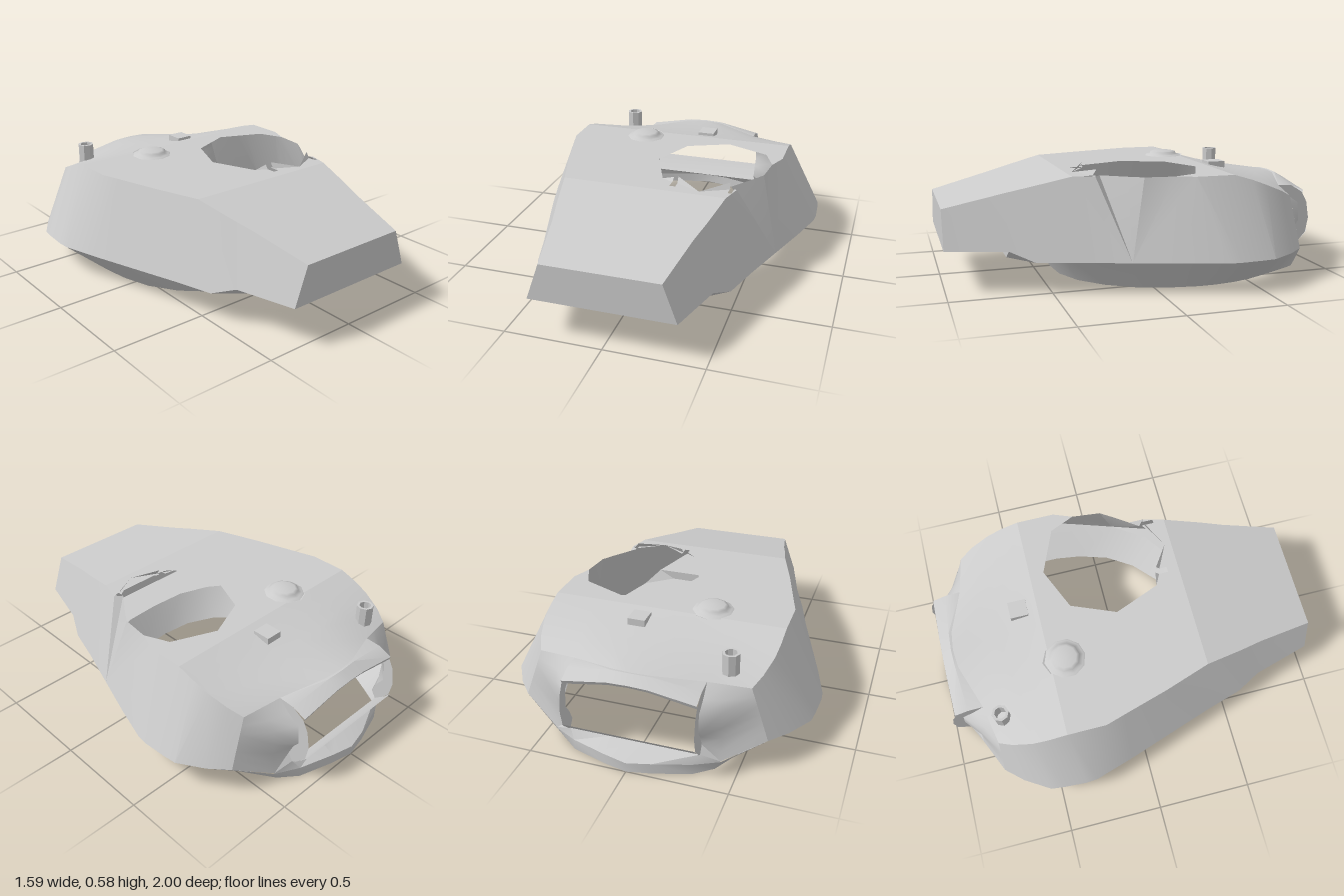
import * as THREE from 'three';
import { toCreasedNormals } from 'three/addons/utils/BufferGeometryUtils.js';

const material = new THREE.MeshStandardMaterial({ color: 0xcccccc, side: THREE.DoubleSide });
const ROOF = 0.555;
const mirror = (pts) => pts.map(([x, y, z]) => [-x, y, z]);
// Complete a half outline that ends on the centre line
const across = (half) => [...half, ...mirror(half).reverse().slice(1)];

// Skin joining successive rows of [x, y, z] points
function loft(rows, crease = 0.5) {
  const pos = [];
  const tri = (a, b, c) => {
    const [A, B, C] = [a, b, c].map((p) => new THREE.Vector3(...p));
    if (B.sub(A).cross(C.sub(A)).length() > 1e-7) pos.push(...a, ...b, ...c);
  };
  for (let r = 0; r < rows.length - 1; r++) {
    for (let i = 0; i < rows[r].length - 1; i++) {
      const a = rows[r][i], b = rows[r][i + 1], c = rows[r + 1][i + 1], d = rows[r + 1][i];
      tri(a, b, c);
      tri(a, c, d);
    }
  }
  const g = new THREE.BufferGeometry();
  g.setAttribute('position', new THREE.Float32BufferAttribute(pos, 3));
  return toCreasedNormals(g, crease);
}

// Turned part from [radius, height] pairs
const turned = (pts, sides, crease) =>
  toCreasedNormals(new THREE.LatheGeometry(pts.map((p) => new THREE.Vector2(...p)), sides), crease);

export function createModel() {
  const group = new THREE.Group();
  const add = (name, geometry, x = 0, y = 0, z = 0) => {
    const m = new THREE.Mesh(geometry, material);
    m.name = name;
    m.position.set(x, y, z);
    group.add(m);
  };

  // Side plates: matching points on the lower and upper edges, bustle to cheek
  const bustleLow = [[0.365, 0.21, 1], [0.45, 0.21, 0.7], [0.51, 0.16, 0.58], [0.57, 0.16, 0.38]];
  const bustleTop = [[0.295, 0.405, 1], [0.352, 0.478, 0.7], [0.382, 0.507, 0.58], [0.425, ROOF, 0.38]];
  const cheekLow = [[0.73, 0.16, -0.1], [0.79, 0.16, -0.3], [0.795, 0.16, -0.36], [0.788, 0.16, -0.48],
    [0.78, 0.16, -0.55], [0.7, 0.16, -0.68], [0.62, 0.16, -0.77]];
  const frontTop = [[0.605, ROOF, -0.4], [0.602, 0.525, -0.5], [0.593, 0.495, -0.58], [0.565, 0.455, -0.68], [0.53, 0.42, -0.75]];
  const corner = [0.65, 0.16, 0.14];
  add('rightSide', loft([
    mirror([...bustleLow, corner, ...cheekLow]),
    mirror([...bustleTop, [0.505, ROOF, 0.14], [0.575, ROOF, -0.1], [0.605, ROOF, -0.2], ...frontTop]),
  ]));
  // The left plate is cut away by the hatch opening, fanning down to one corner
  const cut = [[0.455, ROOF, 0.27], [0.42, ROOF, 0.24], [0.505, ROOF, 0.12], [0.55, ROOF, 0.05],
    [0.566, ROOF, -0.1], [0.605, ROOF, -0.2]];
  add('leftSide', loft([
    [...bustleTop, ...cut, [0.605, ROOF, -0.2], [0.605, ROOF, -0.2], ...frontTop],
    [...bustleLow, ...cut.map(() => corner), ...cheekLow],
  ], 0.3));

  // Flat middle roof with the irregular hatch opening breaking its left edge
  const outline = [[0.425, 0.38], [0.455, 0.27], [0.44, 0.265], [0.44, 0.32], [0.42, 0.32], [0.42, 0.255],
    [0.28, 0.345], [0.15, 0.26], [0.15, 0.32], [0.12, 0.32], [0.12, 0.25], [0.06, 0.24], [-0.035, 0],
    [0.06, -0.23], [0.28, -0.325], [0.51, -0.23], [0.566, -0.1], [0.605, -0.2], [0.605, -0.4],
    [-0.605, -0.4], [-0.605, -0.2], [-0.575, -0.1], [-0.505, 0.14], [-0.425, 0.38]];
  const roof = new THREE.ShapeGeometry(new THREE.Shape(outline.map(([x, z]) => new THREE.Vector2(x, -z))));
  add('middleRoof', roof.rotateX(-Math.PI / 2), 0, ROOF, 0);

  // Bent slivers of plate behind the opening
  const slivers = [
    [[0.06, ROOF, 0.24], [0.125, 0.575, 0.25], [0.12, ROOF, 0.27]],
    [[0.15, 0.585, 0.26], [0.28, ROOF, 0.345], [0.15, ROOF, 0.28]],
    [[0.42, 0.585, 0.255], [0.28, ROOF, 0.345], [0.42, ROOF, 0.275]],
  ];
  slivers.forEach(([a, b, c]) => add('bentSliver', loft([[a, b], [a, c]])));

  // Sloping bustle roof, end plate and stepped underside
  add('bustleRoof', loft([bustleTop, mirror(bustleTop)]));
  add('bustleEnd', loft([[bustleTop[0], mirror(bustleTop)[0]], [bustleLow[0], mirror(bustleLow)[0]]]));
  add('bustleFloor', loft([bustleLow.slice(0, 2), mirror(bustleLow.slice(0, 2))]));
  add('bustleStep', loft([
    across([bustleLow[2], bustleLow[1], [0, 0.21, 0.7]]),
    across([bustleLow[2], [0.36, 0.16, 0.7], [0, 0.16, 0.7]]),
  ]));

  // Arched front roof running down to the gun opening
  const archY = [ROOF, 0.527, 0.51, 0.49];
  const rows = frontTop.slice(0, 4).map(([x, y, z], i) => across([
    [x, y, z], [x * 0.62, y + (archY[i] - y) * 0.65, z], [x * 0.25, archY[i], z - 0.02 * i], [0, archY[i], z - 0.02 * i],
  ]));
  const brow = [[0.33, 0.44, -0.79], [0.1, 0.473, -0.87], [0, 0.476, -0.88]];
  add('frontRoof', loft([...rows, across([frontTop[4], ...brow])], 0.9));

  // Thin lip over the opening, drooping towards its ends
  add('upperLip', loft([
    across(brow),
    across([[0.33, 0.435, -0.87], [0.1, 0.475, -0.885], [0, 0.478, -0.89]]),
    across([[0.33, 0.405, -0.943], [0.1, 0.442, -0.943], [0, 0.445, -0.943]]),
    across([[0.33, 0.385, -0.935], [0.1, 0.425, -0.935], [0, 0.43, -0.935]]),
  ], 0.6));

  // Cheeks either side of the opening, folding in to an upright C-shaped flange
  const arc = (x, pts) => pts.map(([y, z]) => [x, y, z]);
  const foot = [0.42, 0.06, -0.86];
  const flangeInner = arc(0.33, [[0.44, -0.79], [0.38, -0.85], [0.34, -0.91], [0.24, -0.92], [0.2, -0.89], [0.14, -0.865]]);
  const flangeOuter = arc(0.33, [[0.435, -0.87], [0.395, -0.935], [0.34, -0.965], [0.25, -0.98], [0.17, -0.965], [0.11, -0.91]]);
  const fold = arc(0.42, [[0.43, -0.77], [0.37, -0.81], [0.32, -0.84], [0.24, -0.845], [0.18, -0.845], [0.11, -0.85]]);
  const cheekEdge = fold.map((_, i) => [0.53 + 0.015 * i, 0.42 - 0.043 * i, -0.75 - 0.0033 * i]);
  const cheek = [[...cheekEdge, cheekLow[6]], [...fold, foot], [...flangeInner, foot]];
  const flange = [[...flangeInner, foot], [...flangeOuter, [0.33, 0.1, -0.89]]];
  add('leftCheek', loft(cheek, 0.9));
  add('rightCheek', loft(cheek.map(mirror), 0.9));
  add('leftFlange', loft(flange));
  add('rightFlange', loft(flange.map(mirror)));

  // Straight bar joining the feet of the flanges
  const bar = [[0.33, 0.18, -0.976], [0.33, 0.145, -0.945], [0.33, 0.1, -0.89]];
  add('lowerBar', loft([bar, mirror(bar)]));

  // Tapered skirt below the hull, open at the bottom
  const sillOuter = [[0.42, 0.055, -0.86], [0.3, 0.055, -0.92], [0.12, 0.055, -0.975], [0, 0.05, -1]];
  const skirtTop = [[0, 0.16, 0.5], [0.2, 0.16, 0.49], [0.37, 0.16, 0.43], [0.53, 0.16, 0.32], corner,
    ...cheekLow, ...sillOuter];
  const skirtLow = [[0, 0, 0.41], [0.17, 0, 0.395], [0.32, 0, 0.33], [0.44, 0, 0.22], [0.53, 0, 0.08],
    [0.58, 0, -0.08], [0.6, 0, -0.22], [0.6, 0, -0.31], [0.585, 0, -0.42], [0.555, 0, -0.52], [0.5, 0, -0.64],
    [0.45, 0, -0.74], [0.39, 0, -0.85], [0.3, 0, -0.92], [0.12, 0, -0.975], [0, 0, -1]];
  add('skirt', loft([across(skirtTop), across(skirtLow)], 0.6));

  // Crescent sill rising from the skirt to the bar
  add('lowerSill', loft([
    across(sillOuter),
    across([foot, [0.33, 0.1, -0.89], [0.12, 0.1, -0.89], [0, 0.1, -0.89]]),
  ]));

  // Hull floor between the skirt and the bustle step
  add('hullFloor', loft([
    across([corner, [0.53, 0.16, 0.32], [0.37, 0.16, 0.43], [0.2, 0.16, 0.49], [0, 0.16, 0.5]]),
    across([corner, bustleLow[3], bustleLow[2], [0.36, 0.16, 0.7], [0, 0.16, 0.7]]),
  ]));

  // Roof fittings
  add('roundHatch', turned([[0.11, -0.003], [0.095, 0.006], [0.078, 0.01], [0.076, 0.02], [0.06, 0.026], [0, 0.027]], 10, 1.3),
    -0.215, ROOF, -0.32);
  add('hatchGuard', loft([
    [[-0.28, 0.556, -0.41], [-0.215, 0.558, -0.44], [-0.15, 0.556, -0.41]],
    [[-0.28, 0.552, -0.4], [-0.215, 0.545, -0.415], [-0.15, 0.552, -0.4]],
  ]));
  add('periscope', new THREE.BoxGeometry(0.09, 0.05, 0.095), 0.11, 0.533, -0.5);
  add('ventTube', turned([[0.03, 0], [0.043, 0], [0.043, 0.105], [0.03, 0.105], [0.03, 0]], 8, 0.5), -0.415, 0.455, -0.7);

  return group;
}
